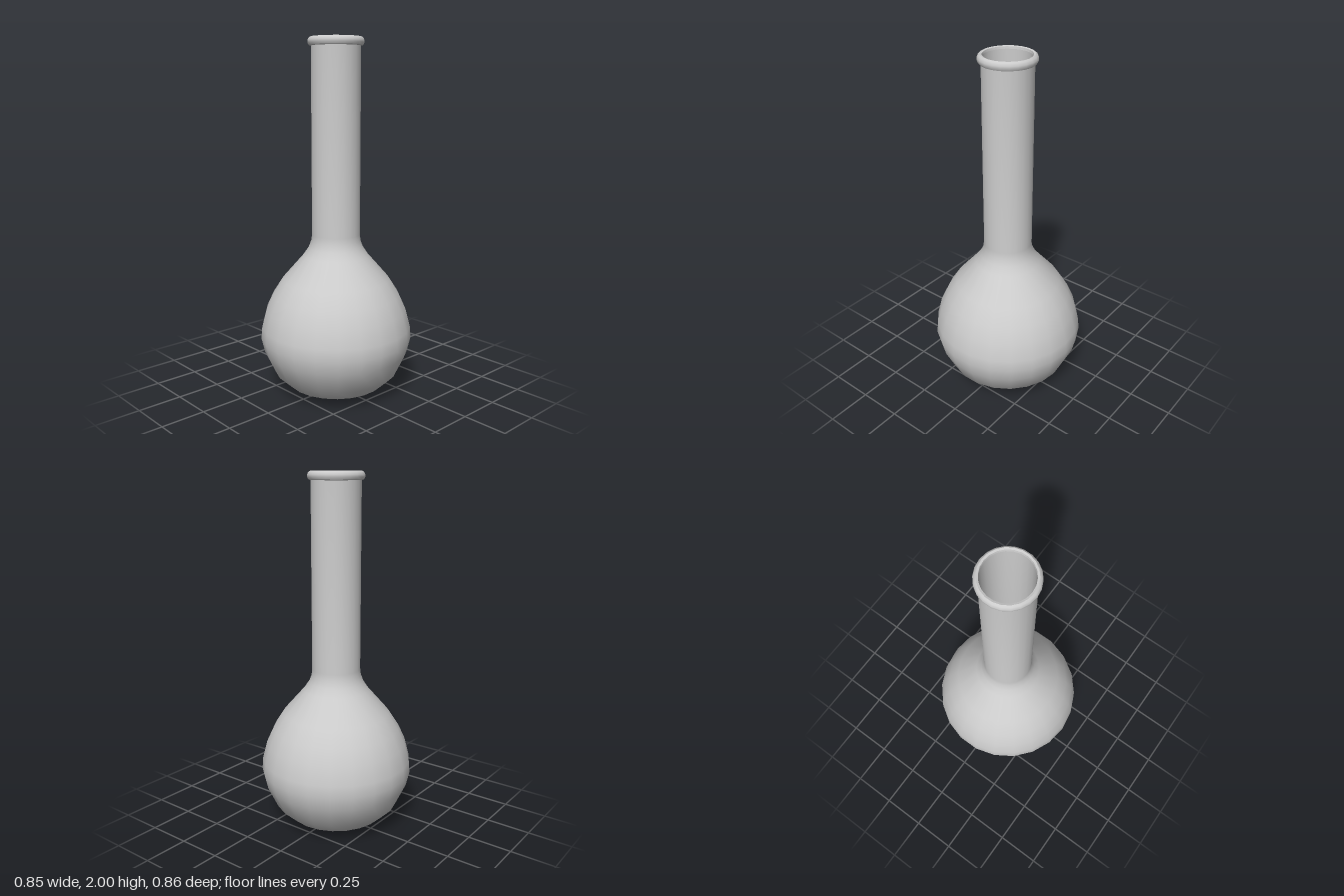
import * as THREE from 'three';
import { toCreasedNormals } from 'three/addons/utils/BufferGeometryUtils.js';

const SIDES = 22;

export function createModel() {
  const flask = new THREE.Group();
  flask.name = 'flask';
  const material = new THREE.MeshStandardMaterial({ color: 0xcccccc });

  // Revolve a [radius, height] profile, keeping sharp corners crisp.
  function turned(name, profile, crease) {
    const points = profile.map(([r, y]) => new THREE.Vector2(r, y));
    const geometry = toCreasedNormals(new THREE.LatheGeometry(points, SIDES), crease);
    const mesh = new THREE.Mesh(geometry, material);
    mesh.name = name;
    flask.add(mesh);
  }

  // Flat foot, round bulb and long straight neck
  turned('body', [
    [0, 0], [0.175, 0.003], [0.277, 0.05], [0.353, 0.12], [0.412, 0.245],
    [0.431, 0.325], [0.426, 0.39], [0.4, 0.49], [0.361, 0.575],
    [0.303, 0.665], [0.185, 0.8], [0.155, 0.845], [0.14, 0.885],
    [0.136, 0.92], [0.136, 1.96],
  ], 0.8);

  // Rounded bead around the mouth
  turned('rim', [
    [0.135, 1.953], [0.147, 1.956], [0.154, 1.969], [0.154, 1.981],
    [0.148, 1.994], [0.139, 2], [0.129, 1.997], [0.127, 1.985],
  ], 0.6);

  // Inner wall, running from the mouth down to the floor
  turned('innerWall', [
    [0.127, 1.985], [0.127, 0.915], [0.132, 0.875], [0.147, 0.835],
    [0.177, 0.79], [0.294, 0.655], [0.351, 0.57], [0.39, 0.485],
    [0.416, 0.388], [0.421, 0.325], [0.402, 0.25], [0.345, 0.127],
    [0.27, 0.06], [0.17, 0.013], [0, 0.01],
  ], 0.8);

  return flask;
}
